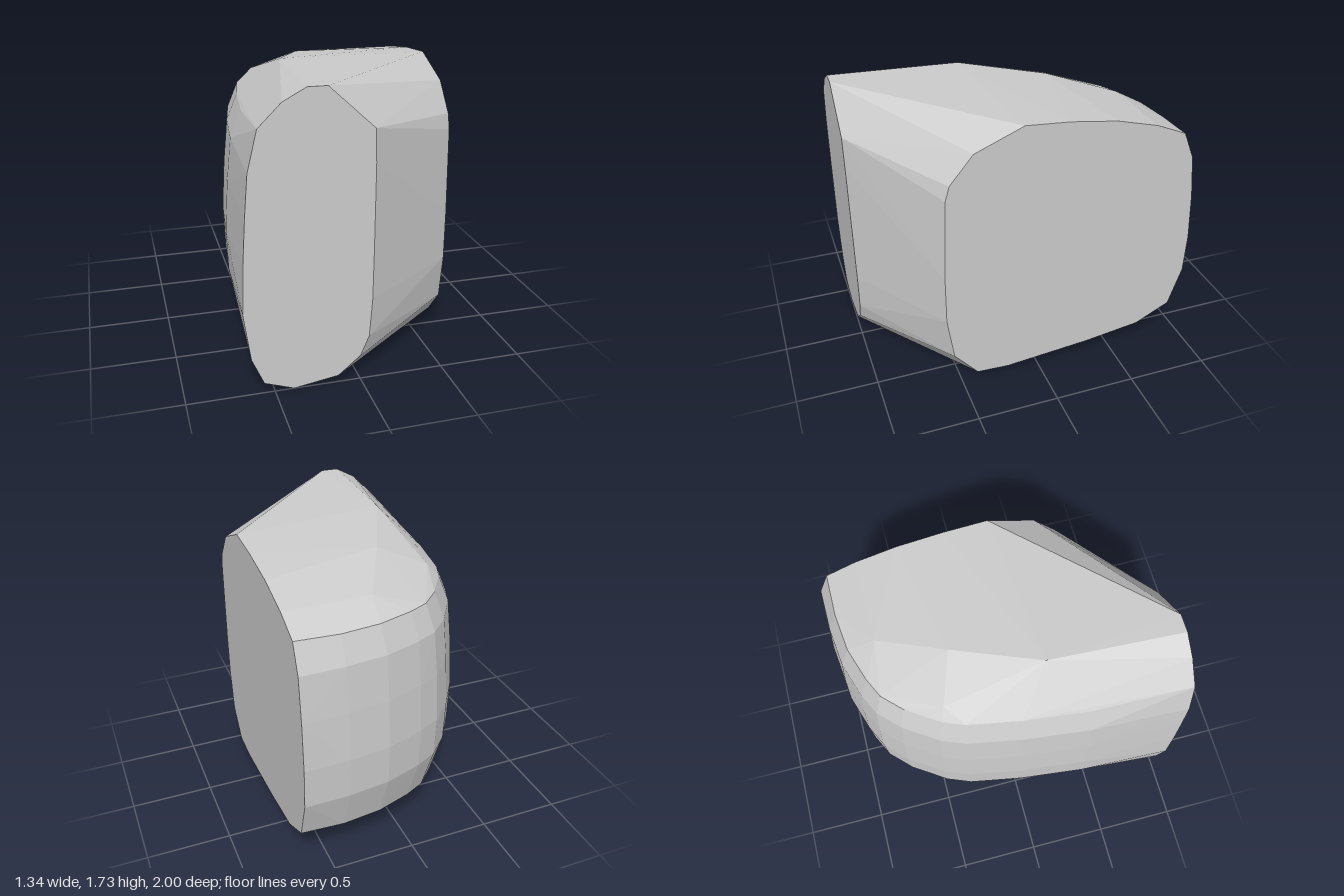
import * as THREE from 'three';
import { ConvexGeometry } from 'three/addons/geometries/ConvexGeometry.js';

// flat front cut, [x, y] at z = 1
const frontCut = [
  [-0.31, 1.73], [-0.2, 1.73], [0.06, 1.49], [0.067, 1.3], [0.067, 0.8], [0.065, 0.5], [0.05, 0.27],
  [0, 0.15], [-0.13, 0.04], [-0.39, 0], [-0.56, 0.06], [-0.63, 0.22], [-0.67, 0.5], [-0.66, 0.8],
  [-0.645, 1.05], [-0.625, 1.3], [-0.57, 1.53], [-0.44, 1.66],
];

// flat side cut, [z, y] at x = 0.67
const sideCut = [
  [0.11, 1.7], [0.4, 1.58], [0.54, 1.41], [0.565, 1.32], [0.585, 0.8], [0.585, 0.5], [0.545, 0.22],
  [0.4, 0.05], [0.2, 0.04], [-0.34, 0.09], [-0.69, 0.14], [-0.91, 0.25], [-0.99, 0.5], [-1, 0.75],
  [-0.985, 1.05], [-0.955, 1.32], [-0.885, 1.49], [-0.7, 1.57], [-0.44, 1.64], [-0.16, 1.68],
];

// plan of the rounded wall, [x, z], from the front cut round to the side cut
const plan = [
  [-0.67, 1], [-0.655, 0.4], [-0.61, 0], [-0.55, -0.33], [-0.49, -0.48], [-0.35, -0.69],
  [-0.22, -0.82], [-0.08, -0.89], [0.15, -0.965], [0.4, -0.995], [0.67, -1],
];

// wall levels, [y, inset from the plan]
const levels = [[0.24, 0.08], [0.5, 0.008], [0.75, 0], [1.05, 0.018], [1.32, 0.045], [1.48, 0.11]];

// free points on the crown and the underside, [x, y, z]
const crownAndBase = [
  [-0.27, 1.72, 0.2], [-0.05, 1.665, -0.3], [0.15, 1.68, -0.16], [0.15, 1.57, -0.69], [-0.33, 1.55, -0.4],
  [0.15, 0.14, -0.69], [-0.32, 0.12, -0.41], [-0.5, 0.09, 0.19],
];

export function createModel() {
  const points = [
    ...frontCut.map(([x, y]) => new THREE.Vector3(x, y, 1)),
    ...sideCut.map(([z, y]) => new THREE.Vector3(0.67, y, z)),
    ...crownAndBase.map((p) => new THREE.Vector3(...p)),
  ];

  // stack the wall outlines, each moved inwards along its normal
  for (const [y, inset] of levels) {
    for (let i = 1; i < plan.length - 1; i++) {
      const dx = plan[i + 1][0] - plan[i - 1][0];
      const dz = plan[i + 1][1] - plan[i - 1][1];
      const k = inset / Math.hypot(dx, dz);
      points.push(new THREE.Vector3(plan[i][0] - dz * k, y, plan[i][1] + dx * k));
    }
  }

  // faceted convex block spanning all the cross-sections
  const block = new THREE.Mesh(
    new ConvexGeometry(points),
    new THREE.MeshStandardMaterial({ color: 0xcccccc, flatShading: true }),
  );
  block.name = 'facetedBlock';

  const model = new THREE.Group();
  model.name = 'roundedCornerBlock';
  model.add(block);
  return model;
}
